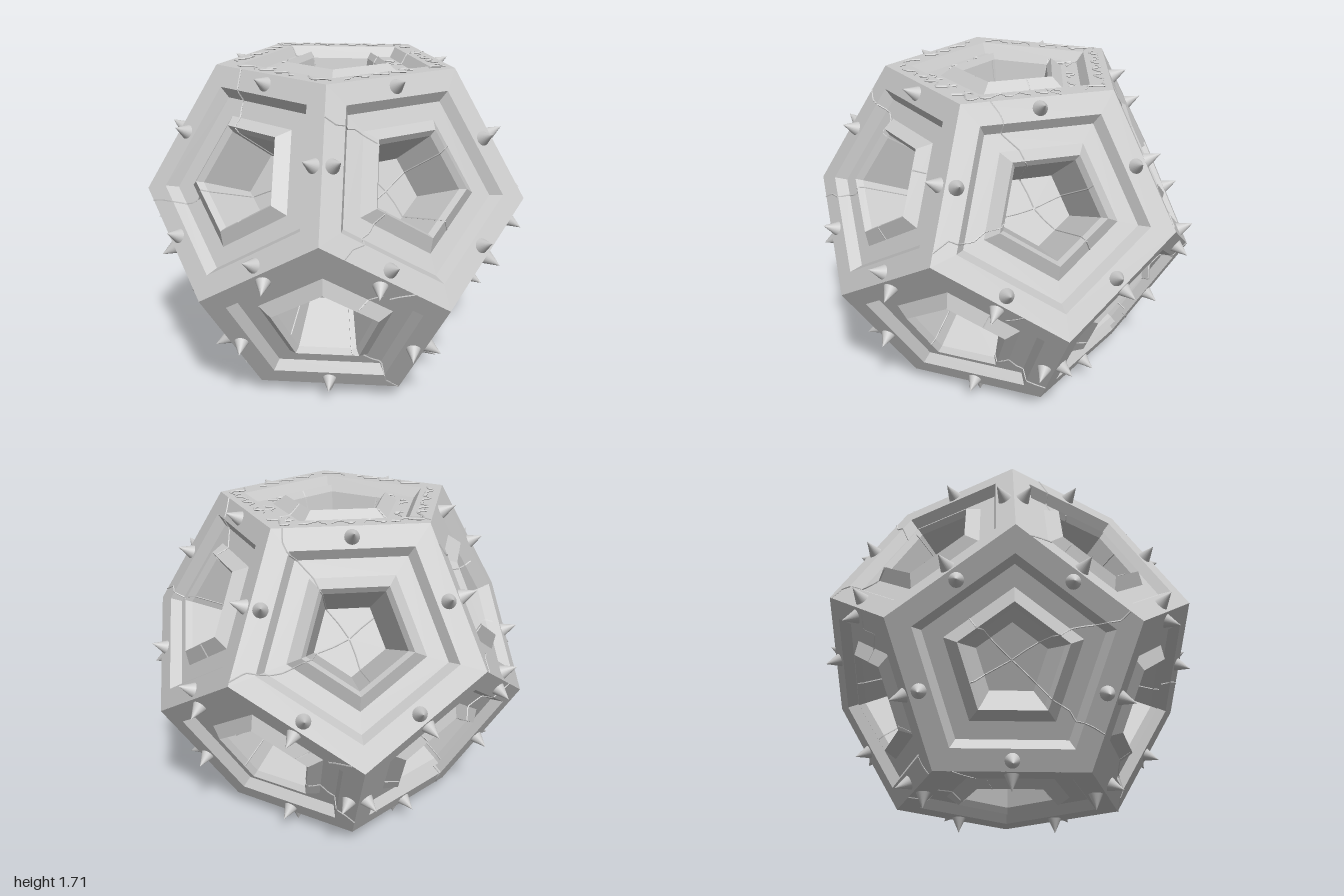
import * as THREE from 'three';

const INRADIUS = 0.81, CENTRE_Y = 0.89, R = 0.619; // R: corner radius of one face
const material = new THREE.MeshStandardMaterial({ color: 0xcccccc, flatShading: true });
const smooth = new THREE.MeshStandardMaterial({ color: 0xcccccc });

// Face profile from rim to centre: [scale of the pentagon, depth]
const PROFILE = [
  [1, 0], [0.79, 0], [0.72, 0.05], [0.55, 0.05], // land, step, ledge
  [0.44, 0], [0.40, 0.03], [0.30, 0.30], [0, 0.30], // raised ring, bevel, pit
];

function seeded(seed) {
  return () => {
    seed = (seed * 16807) % 2147483647;
    return seed / 2147483647;
  };
}

// Point on a face at a pentagon scale and angle, lifted off the surface
function facePoint(scale, angle, lift = 0.001) {
  const sector = Math.PI * 2 / 5;
  const off = angle - Math.round(angle / sector) * sector;
  const r = scale * R * Math.cos(Math.PI / 5) / Math.cos(off);
  let depth = 0;
  for (let i = 0; i < PROFILE.length - 1; i++) {
    const [s0, d0] = PROFILE[i], [s1, d1] = PROFILE[i + 1];
    if (scale <= s0 && scale >= s1) depth = d0 + (d1 - d0) * (s0 - scale) / (s0 - s1);
  }
  return new THREE.Vector3(r * Math.sin(angle), lift - depth, r * Math.cos(angle));
}

function line(points, radius, name, curved) {
  let path;
  if (curved) path = new THREE.CatmullRomCurve3(points);
  else {
    path = new THREE.CurvePath();
    for (let i = 1; i < points.length; i++) path.add(new THREE.LineCurve3(points[i - 1], points[i]));
  }
  const mesh = new THREE.Mesh(new THREE.TubeGeometry(path, curved ? 16 : 40, radius, 4), material);
  mesh.name = name;
  return mesh;
}

// Cracks that start at the pit centre and follow the steps out to the rim
function addCracks(face, random) {
  const start = random() * Math.PI * 2;
  const stops = [0.01, 0.15, 0.30, 0.40, 0.44, 0.55, 0.64, 0.72, 0.79, 0.88, 1];
  for (let k = 0; k < 4; k++) {
    let angle = start + k * Math.PI / 2 + random() * 0.5;
    const used = k < 2 ? stops : stops.slice(0, 3 + Math.floor(random() * 4));
    const points = used.map((s) => facePoint(s, angle += (random() - 0.5) * 0.14));
    face.add(line(points, 0.004, 'crack'));
  }
}

// Curling veins laid along the land and the ledge of the top face
function addVeins(face, random) {
  for (const [scale, count] of [[0.89, 20], [0.64, 12]]) {
    for (let k = 0; k < count; k++) {
      const start = (k + random() * 0.5) / count * Math.PI * 2;
      const phase = random() * 6;
      const points = [];
      for (let i = 0; i < 6; i++) {
        const s = scale + 0.045 * Math.sin(phase + i * 1.5);
        points.push(facePoint(s, start + i * 0.05, 0.004));
      }
      face.add(line(points, 0.005, 'vein', true));
    }
  }
}

const faceGeometry = new THREE.LatheGeometry(
  PROFILE.map(([s, d]) => new THREE.Vector2(s * R, -d)), 5, Math.PI / 5);
const spikeGeometry = new THREE.ConeGeometry(0.036, 0.08, 20);

// One face: local y is outward, local z points at the middle of one edge
function makeFace(normal, toEdge, index) {
  const face = new THREE.Group();
  const random = seeded(101 + index * 977);
  const side = new THREE.Vector3().crossVectors(normal, toEdge);
  face.quaternion.setFromRotationMatrix(new THREE.Matrix4().makeBasis(side, normal, toEdge));
  face.position.copy(normal).multiplyScalar(INRADIUS);
  face.position.y += CENTRE_Y;

  const panel = new THREE.Mesh(faceGeometry, material);
  panel.name = 'steppedPanel';
  face.add(panel);
  addCracks(face, random);

  if (index === 0) addVeins(face, random);
  else {
    for (let j = 0; j < 5; j++) {
      const angle = j * Math.PI * 2 / 5;
      const spike = new THREE.Mesh(spikeGeometry, smooth);
      spike.name = 'spike';
      spike.position.set(0.45 * Math.sin(angle), 0.04, 0.45 * Math.cos(angle));
      face.add(spike);
    }
  }
  return face;
}

export function createModel() {
  const model = new THREE.Group();
  model.name = 'spikedDodecahedron';
  const add = (name, normal, toEdge) => {
    const face = makeFace(normal, toEdge, model.children.length);
    face.name = name;
    model.add(face);
  };

  // Top and bottom faces
  add('topFace', new THREE.Vector3(0, 1, 0), new THREE.Vector3(1, 0, 0));
  add('bottomFace', new THREE.Vector3(0, -1, 0), new THREE.Vector3(-1, 0, 0));

  // Two belts of five faces, the lower one turned by half a step
  const rise = 1 / Math.sqrt(5), out = 2 / Math.sqrt(5);
  for (const sign of [1, -1]) {
    for (let k = 0; k < 5; k++) {
      const a = (k + (sign < 0 ? 0.5 : 0)) * Math.PI * 2 / 5;
      const c = Math.cos(a), s = Math.sin(a);
      add(sign > 0 ? 'upperFace' : 'lowerFace',
        new THREE.Vector3(out * c, sign * rise, out * s),
        new THREE.Vector3(-rise * c, sign * out, -rise * s));
    }
  }
  return model;
}
